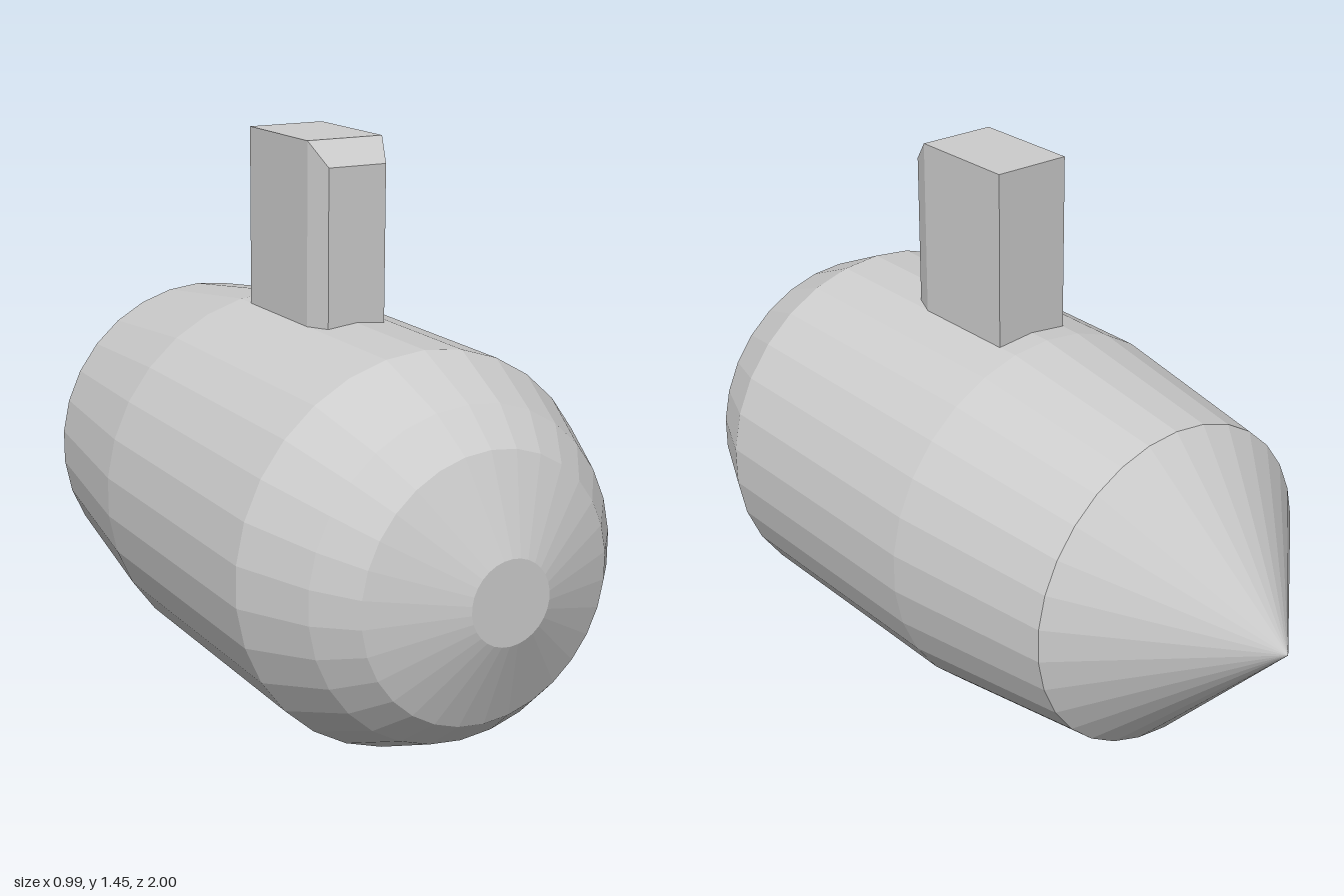
import * as THREE from 'three';

const SIDES = 30;

export function createModel() {
  const model = new THREE.Group();
  const material = new THREE.MeshStandardMaterial({ color: 0xcccccc, flatShading: true });

  const add = (name, geometry) => {
    const mesh = new THREE.Mesh(geometry, material);
    mesh.name = name;
    model.add(mesh);
  };

  // Turned part lying along z; profile is [radius, z] from back to front
  const turned = (profile) =>
    new THREE.LatheGeometry(profile.map(([r, z]) => new THREE.Vector2(r, z)), SIDES)
      .rotateX(Math.PI / 2)
      .translate(0, 0.5, 0);

  // Hull with a rounded nose and a tapering rear
  add('hull', turned([
    [0.43, -0.6], [0.5, -0.12], [0.5, 0.62], [0.415, 0.81],
    [0.333, 0.905], [0.105, 1], [0, 1],
  ]));

  // Pointed tail
  add('tailCone', turned([[0, -1], [0.43, -0.6]]));

  // Tower: a box in two lengths, its front end drawn in to bevel the sides and top
  const rings = [
    { z: -0.06, half: 0.105, top: 1.45 },
    { z: 0.243, half: 0.105, top: 1.45 },
    { z: 0.305, half: 0.08, top: 1.39 },
  ];
  const tower = new THREE.BoxGeometry(2, 2, 2, 1, 1, 2);
  const p = tower.attributes.position;
  for (let i = 0; i < p.count; i++) {
    const ring = rings[Math.round(p.getZ(i)) + 1];
    p.setXYZ(i, p.getX(i) * ring.half, p.getY(i) > 0 ? ring.top : 0.9, ring.z);
  }
  tower.computeVertexNormals();
  add('tower', tower);

  return model;
}
